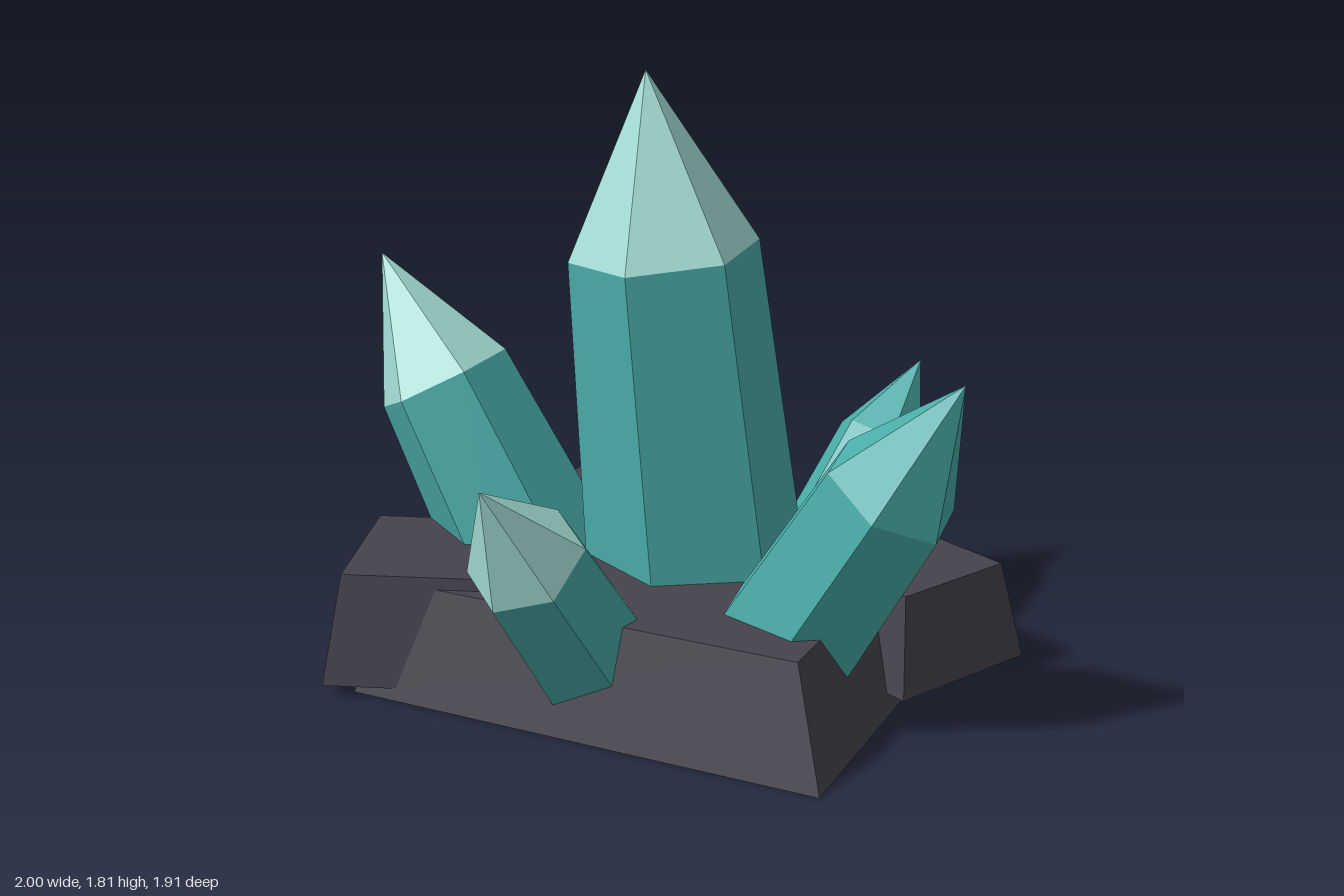
import * as THREE from 'three';

const material = (name, color) => {
  const m = new THREE.MeshStandardMaterial({ color });
  m.name = name;
  return m;
};

// Hard-edged facets
function faceted(geometry) {
  const g = geometry.toNonIndexed();
  g.computeVertexNormals();
  return g;
}

function addMesh(parent, name, geometry, mat) {
  const mesh = new THREE.Mesh(faceted(geometry), mat);
  mesh.name = name;
  parent.add(mesh);
  return mesh;
}

// Box whose top is narrower than its bottom
function rock(parent, name, { width, depth, bottom, top, taper, x, z, turn }, mat) {
  const g = new THREE.BoxGeometry(width, top - bottom, depth);
  const p = g.attributes.position;
  for (let i = 0; i < p.count; i++) {
    if (p.getY(i) > 0) p.setXYZ(i, p.getX(i) * taper, p.getY(i), p.getZ(i) * taper);
  }
  const mesh = addMesh(parent, name, g, mat);
  mesh.position.set(x, (top + bottom) / 2, z);
  mesh.rotation.y = THREE.MathUtils.degToRad(turn);
}

// Six-sided shaft and pointed tip along the line from root to apex
function crystal(parent, name, { root, apex, rootRadius, radius, tipLength, angle }, bodyMat, tipMat) {
  const start = new THREE.Vector3(...root);
  const axis = new THREE.Vector3(...apex).sub(start);
  const length = axis.length();
  const shaft = length - tipLength;
  const spin = THREE.MathUtils.degToRad(30 - angle);

  const group = new THREE.Group();
  group.name = name;
  group.position.copy(start);
  group.quaternion.setFromUnitVectors(new THREE.Vector3(0, 1, 0), axis.normalize());
  parent.add(group);

  addMesh(group, name + 'Shaft',
    new THREE.CylinderGeometry(radius, rootRadius, shaft, 6).rotateY(spin).translate(0, shaft / 2, 0), bodyMat);
  addMesh(group, name + 'Tip',
    new THREE.ConeGeometry(radius, tipLength, 6, 1, true).rotateY(spin).translate(0, shaft + tipLength / 2, 0), tipMat);
}

export function createModel() {
  const model = new THREE.Group();
  model.name = 'crystalCluster';
  const stone = material('darkStone', 0x46434d);
  const teal = material('tealCrystal', 0x4aaeaa);
  const pale = material('paleCrystalTip', 0xa5e0d8);

  // Rock base
  rock(model, 'baseSlab',
    { width: 1.49, depth: 1.32, bottom: 0, top: 0.335, taper: 0.855, x: -0.03, z: -0.02, turn: 10 }, stone);
  rock(model, 'frontRock',
    { width: 0.66, depth: 0.59, bottom: 0.035, top: 0.37, taper: 0.82, x: -0.565, z: 0.415, turn: 30 }, stone);
  rock(model, 'backRock',
    { width: 0.55, depth: 0.505, bottom: 0.055, top: 0.35, taper: 0.8, x: 0.57, z: -0.355, turn: -15.5 }, stone);

  // Crystals with pale tips
  crystal(model, 'mainCrystal',
    { root: [0, 0.2, -0.1], apex: [-0.105, 1.81, 0.02], rootRadius: 0.342, radius: 0.285, tipLength: 0.535, angle: 17 },
    teal, pale);
  crystal(model, 'rightCrystal',
    { root: [-0.435, 0.15, 0.095], apex: [-0.97, 1.195, 0.23], rootRadius: 0.265, radius: 0.215, tipLength: 0.434, angle: 27 },
    teal, pale);
  crystal(model, 'frontCrystal',
    { root: [0.003, 0.185, 0.45], apex: [0.045, 0.84, 0.955], rootRadius: 0.195, radius: 0.173, tipLength: 0.328, angle: 30 },
    teal, pale);

  // Plain crystals
  crystal(model, 'leftCrystal',
    { root: [0.433, 0.172, 0.115], apex: [1.0, 1.09, 0.11], rootRadius: 0.228, radius: 0.2, tipLength: 0.4, angle: 13 },
    teal, teal);
  crystal(model, 'backCrystal',
    { root: [0.168, 0.18, -0.531], apex: [0.285, 0.78, -0.955], rootRadius: 0.168, radius: 0.145, tipLength: 0.294, angle: 51 },
    teal, teal);

  return model;
}
